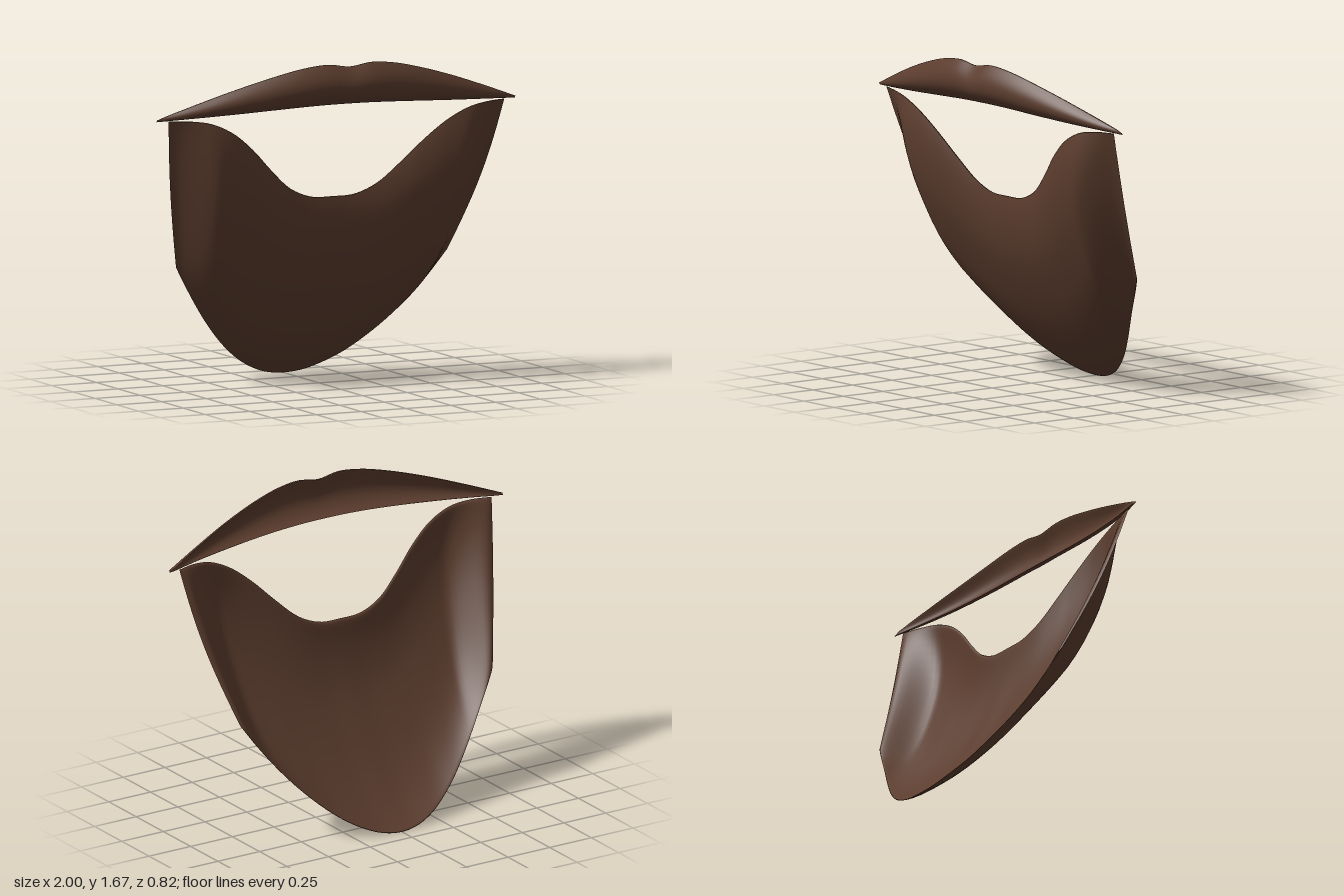
import * as THREE from 'three';

const COLUMNS = 72, ROWS = 24;

// Symmetric edge curve from its +x half, listed from the middle outwards
function edge(half) {
  const right = half.map(p => new THREE.Vector3(...p));
  const left = right.slice(1).reverse().map(p => new THREE.Vector3(-p.x, p.y, p.z));
  return new THREE.CatmullRomCurve3([...left, ...right]);
}

// Thin closed shell stretched between two edges: bulge(s, t) pushes it forward,
// flare(s, t) shifts its sides; s runs middle to side, t bottom to top
function shell(name, material, bottom, top, thickness, bulge, flare) {
  const positions = [], indices = [], ring = ROWS * 2;
  for (let i = 0; i <= COLUMNS; i++) {
    const u = i / COLUMNS, s = Math.abs(2 * u - 1), side = Math.sign(2 * u - 1);
    const b = bottom.getPoint(u), tp = top.getPoint(u);
    for (let j = 0; j < ring; j++) {
      const t = 0.5 - 0.5 * Math.cos(Math.PI * j / ROWS);
      const p = b.clone().lerp(tp, t);
      const f = flare(s, t);
      p.x += side * f;
      p.z += f + bulge(s, t);
      // back face, closing up to nothing along the rim
      if (j > ROWS) {
        p.z -= thickness * Math.pow(Math.max(0, 4 * t * (1 - t)), 0.3) * Math.sqrt(Math.max(0, 1 - Math.pow(s, 14)));
      }
      positions.push(p.x, p.y, p.z);
      if (i < COLUMNS) {
        const k = (j + 1) % ring, a = i * ring, c = a + ring;
        indices.push(a + j, c + j, c + k, a + j, c + k, a + k);
      }
    }
  }
  const geometry = new THREE.BufferGeometry();
  geometry.setAttribute('position', new THREE.Float32BufferAttribute(positions, 3));
  geometry.setIndex(indices);
  geometry.computeVertexNormals();
  const mesh = new THREE.Mesh(geometry, material);
  mesh.name = name;
  return mesh;
}

// Arch that is 0 at both rims and 1 in between, skewed towards the bottom
const arch = (t, skew, power) => 1 - Math.pow(Math.abs(2 * Math.pow(t, skew) - 1), power);

export function createModel() {
  const group = new THREE.Group();
  group.name = 'facialHair';
  const hair = new THREE.MeshStandardMaterial({ color: 0x5c3d2e, side: THREE.DoubleSide });

  // Beard: dips under the mouth, wraps back along the jaw to the chin
  const beardTop = edge([
    [0, 0.968, 0.155], [0.12, 0.973, 0.157], [0.24, 1.022, 0.168], [0.36, 1.125, 0.195], [0.48, 1.242, 0.228],
    [0.6, 1.335, 0.249], [0.72, 1.39, 0.25], [0.83, 1.408, 0.232], [0.937, 1.41, 0.2]]);
  const beardBottom = edge([
    [0, 0, -0.41], [0.1, 0.011, -0.4], [0.2, 0.046, -0.375], [0.3, 0.102, -0.333], [0.4, 0.18, -0.285],
    [0.5, 0.278, -0.228], [0.59, 0.383, -0.175], [0.68, 0.505, -0.125], [0.757, 0.622, -0.085]]);
  group.add(shell('beard', hair, beardBottom, beardTop, 0.028,
    (s, t) => 0.16 * arch(t, 0.85, 2.4) * (1 - THREE.MathUtils.smoothstep(s, 0.72, 1)),
    (s, t) => 0.02 * Math.sin(Math.PI * t) * Math.pow(s, 6)));

  // Moustache: curved lip band with a shallow notch, tapering to points
  const lipTop = edge([
    [0, 1.652, 0.358], [0.12, 1.668, 0.36], [0.25, 1.656, 0.352], [0.4, 1.622, 0.333],
    [0.6, 1.563, 0.295], [0.8, 1.494, 0.248], [1, 1.42, 0.198]]);
  const lipBottom = edge([
    [0, 1.456, 0.305], [0.12, 1.455, 0.304], [0.25, 1.451, 0.3], [0.4, 1.444, 0.29],
    [0.6, 1.433, 0.268], [0.8, 1.422, 0.236], [1, 1.41, 0.192]]);
  group.add(shell('moustache', hair, lipBottom, lipTop, 0.025,
    (s, t) => 0.077 * arch(t, 0.75, 2) * (1 - Math.pow(s, 3)),
    () => 0));

  return group;
}
